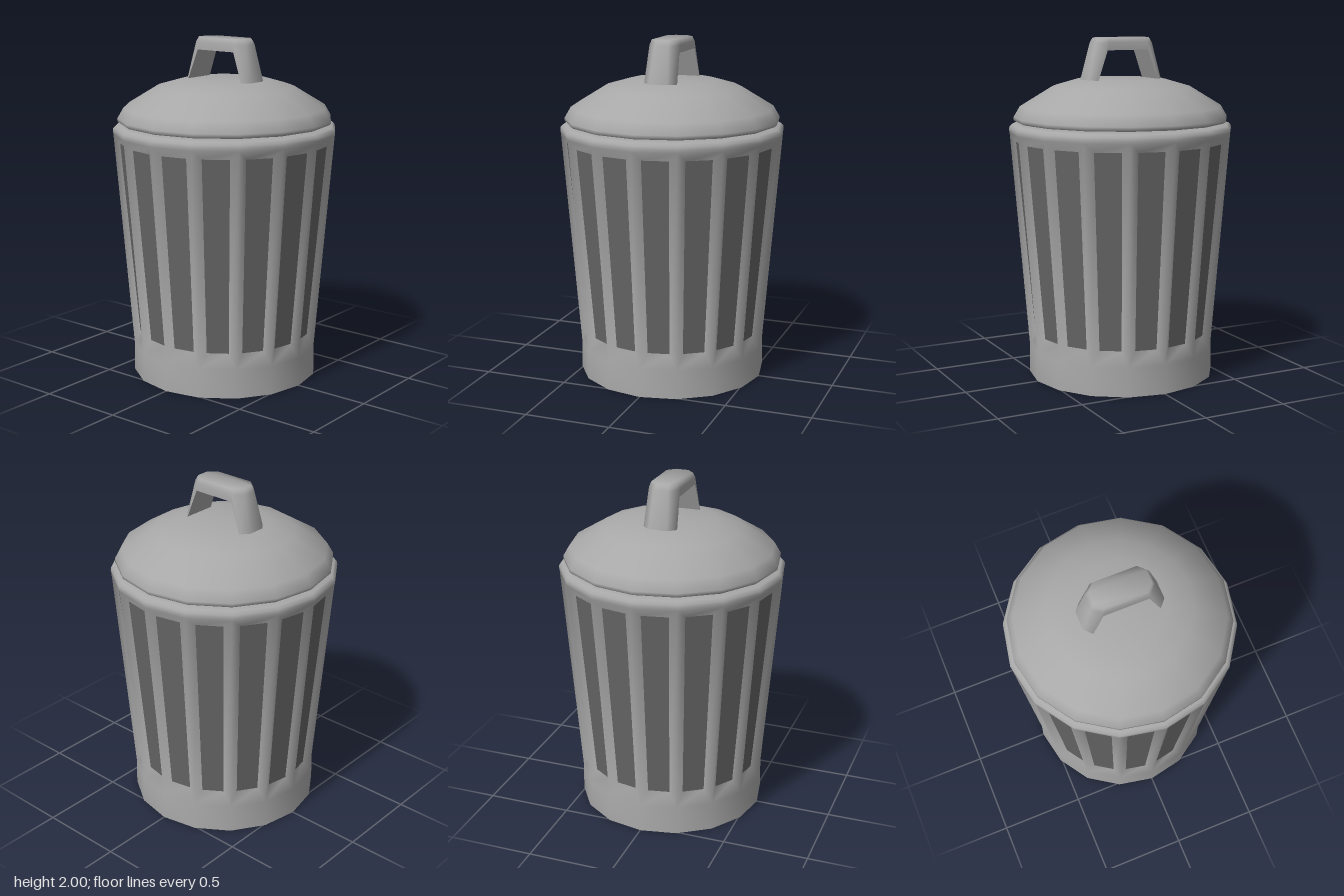
import * as THREE from 'three';
import { mergeGeometries, toCreasedNormals } from 'three/addons/utils/BufferGeometryUtils.js';

const SIDES = 16;
const STEP = (Math.PI * 2) / SIDES;

// Geometry from a list of quads, corners counter-clockwise from outside
function quadGeometry(quads) {
  const pos = [];
  for (const [a, b, c, d] of quads) for (const p of [a, b, c, a, c, d]) pos.push(...p);
  const g = new THREE.BufferGeometry();
  g.setAttribute('position', new THREE.Float32BufferAttribute(pos, 3));
  return g;
}

// Sixteen-sided turned shape, positions only
function turned(profile) {
  const g = new THREE.LatheGeometry(profile.map(([r, y]) => new THREE.Vector2(r, y)), SIDES).toNonIndexed();
  g.deleteAttribute('uv');
  g.deleteAttribute('normal');
  return g;
}

// One bay between two ridged ribs: u runs along the facet, d outwards
function bay(angle, frame, panels) {
  const s = Math.sin(angle), c = Math.cos(angle);
  const at = ([u, d, y]) => [d * s + u * c, y, d * c - u * s];
  const corner = (R, y) => [R * Math.sin(STEP / 2), R * Math.cos(STEP / 2), y];
  const flip = ([u, d, y]) => [-u, d, y];
  const add = (list, ...pts) => list.push(pts.map(at));
  const outLow = corner(0.55, 0.17), outHigh = corner(0.653, 1.45);
  const inLow = [0.063, 0.514, 0.26], inHigh = [0.077, 0.613, 1.4];

  // slopes beside the ribs, then sill and header
  add(frame, inLow, outLow, outHigh, inHigh);
  add(frame, flip(outLow), flip(inLow), flip(inHigh), flip(outHigh));
  add(frame, flip(outLow), outLow, inLow, flip(inLow));
  add(frame, flip(inHigh), inHigh, outHigh, flip(outHigh));
  // recessed panel
  add(panels, flip(inLow), inLow, inHigh, flip(inHigh));
}

// Handle section: half outline (x, y, z), mirrored in z into a closed ring
function handleSection(half, side) {
  const right = half.map(([x, y, z]) => [x * side, y, z]);
  const left = half.map(([x, y, z]) => [x * side, y, -z]).reverse();
  return [...right, ...left];
}

function handleGeometry() {
  // points run: outer edge, chamfer edge, side edge, inner edge
  const halves = [
    [[0.24, 1.745, 0.055], [0.201, 1.745, 0.1], [0.2, 1.745, 0.1], [0.199, 1.745, 0.1]],
    [[0.182, 1.97, 0.042], [0.133, 1.971, 0.09], [0.131, 1.97, 0.09], [0.13, 1.93, 0.09]],
    [[0.165, 2.0, 0.037], [0.122, 2.0, 0.08], [0.125, 1.975, 0.09], [0.122, 1.93, 0.09]],
  ];
  const rings = [
    ...halves.map((h) => handleSection(h, 1)),
    ...halves.slice().reverse().map((h) => handleSection(h, -1)),
  ];
  const quads = [];
  for (let i = 0; i < rings.length - 1; i++) {
    const a = rings[i], b = rings[i + 1];
    for (let j = 0; j < a.length; j++) {
      const k = (j + 1) % a.length;
      quads.push([a[k], a[j], b[j], b[k]]);
    }
  }
  return quadGeometry(quads);
}

export function createModel() {
  const group = new THREE.Group();
  const grey = new THREE.MeshStandardMaterial({ color: 0xa8a8a8, side: THREE.DoubleSide });
  const dark = new THREE.MeshStandardMaterial({ color: 0x666666, side: THREE.DoubleSide });

  const add = (name, geometry, material, crease) => {
    const mesh = new THREE.Mesh(toCreasedNormals(geometry, crease), material);
    mesh.name = name;
    group.add(mesh);
  };

  // Bin body: foot band, ribbed wall and rim, shaded as one smooth skin
  const frame = [], panels = [];
  for (let i = 0; i < SIDES; i++) bay((i + 0.5) * STEP, frame, panels);
  const foot = turned([[0.552, 0], [0.55, 0.17]]);
  const rim = turned([[0.653, 1.45], [0.656, 1.465], [0.654, 1.484], [0.638, 1.5], [0.58, 1.502], [0, 1.502]]);
  add('binBody', mergeGeometries([foot, quadGeometry(frame), rim]), grey, 2.5);

  // Flat disc closing the bottom
  add('binBottom', turned([[0, 0], [0.552, 0]]), grey, 0.1);

  // Recessed panels between the ribs
  add('sidePanels', quadGeometry(panels), dark, 0.1);

  // Domed lid, hovering just above the rim
  add('lid', turned([
    [0, 1.515], [0.618, 1.515], [0.629, 1.523], [0.629, 1.54], [0.592, 1.603],
    [0.405, 1.717], [0.26, 1.759], [0, 1.76],
  ]), grey, 1.2);

  // Lid handle
  add('lidHandle', handleGeometry(), grey, 1.2);

  return group;
}
